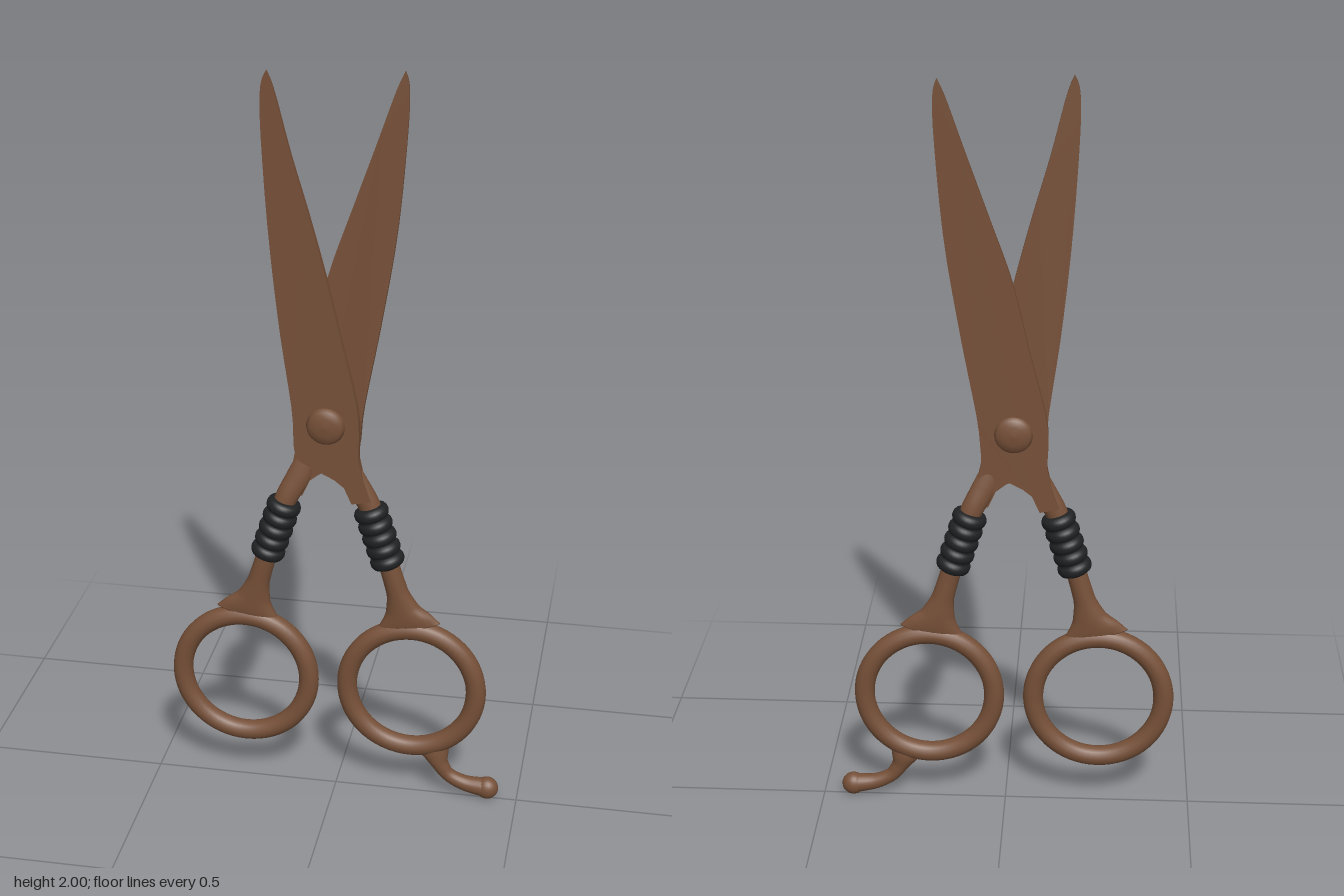
import * as THREE from 'three';

const AXIS = -0.0225; // x of the mirror line between the two handles

// Sweep an ellipse along a path in the xy plane; rows are [x, y, halfWidth, halfDepth, z].
function sweep(rows, steps = 40, sides = 20) {
  const path = new THREE.CatmullRomCurve3(rows.map(r => new THREE.Vector3(r[0], r[1], r[4] || 0)));
  const size = new THREE.CatmullRomCurve3(rows.map(r => new THREE.Vector3(r[2], r[3], 0)));
  const pos = [], index = [];
  for (let i = 0; i <= steps; i++) {
    const t = i / steps, p = path.getPoint(t), s = size.getPoint(t), d = path.getTangent(t);
    const len = Math.hypot(d.x, d.y);
    for (let j = 0; j < sides; j++) {
      const a = j / sides * Math.PI * 2, w = Math.cos(a) * s.x;
      pos.push(p.x - d.y / len * w, p.y + d.x / len * w, p.z + Math.sin(a) * s.y);
      if (i < steps) {
        const k = (j + 1) % sides, b = i * sides, c = b + sides;
        index.push(b + j, b + k, c + j, b + k, c + k, c + j);
      }
    }
  }
  // Close both ends with fans
  const last = steps * sides;
  for (let j = 1; j < sides - 1; j++) {
    index.push(0, j + 1, j, last, last + j, last + j + 1);
  }
  const g = new THREE.BufferGeometry();
  g.setAttribute('position', new THREE.Float32BufferAttribute(pos, 3));
  g.setIndex(index);
  g.computeVertexNormals();
  return g;
}

// Flat blade from two edge curves; zLow and zHigh give its two faces at each height.
function bladeGeometry(outer, inner, heel, zLow, zHigh) {
  const smooth = pts => new THREE.SplineCurve(pts.map(p => new THREE.Vector2(...p))).getPoints(24);
  const outline = [...smooth(outer), ...smooth(inner).slice(1), ...heel.map(p => new THREE.Vector2(...p))];
  const g = new THREE.ExtrudeGeometry(new THREE.Shape(outline), { depth: 1, bevelEnabled: false });
  const p = g.attributes.position;
  for (let i = 0; i < p.count; i++) {
    const y = p.getY(i);
    p.setZ(i, THREE.MathUtils.lerp(zLow(y), zHigh(y), p.getZ(i)));
  }
  g.computeVertexNormals();
  return g;
}

export function createModel() {
  const model = new THREE.Group();
  model.name = 'scissors';
  const bronze = new THREE.MeshStandardMaterial({ color: 0x765038 });
  bronze.name = 'bronze brown';
  const rubber = new THREE.MeshStandardMaterial({ color: 0x1f2123 });
  rubber.name = 'black rubber';
  const add = (name, geometry, material, parent = model) => {
    const mesh = new THREE.Mesh(geometry, material);
    mesh.name = name;
    parent.add(mesh);
    return mesh;
  };

  // Blades, spreading apart in depth towards the tips
  const rise = y => THREE.MathUtils.clamp((y - 1.1) / 0.9, 0, 1);
  add('frontBlade', bladeGeometry(
    [[-0.09, 0.985], [-0.105, 1.02], [-0.11, 1.13], [-0.14, 1.35], [-0.165, 1.6], [-0.18, 1.85], [-0.179, 1.96], [-0.165, 2]],
    [[-0.165, 2], [-0.146, 1.95], [-0.108, 1.8], [-0.062, 1.64], [-0.02, 1.48], [0.02, 1.31], [0.06, 1.13], [0.062, 1.0]],
    [[0.075, 0.94], [0.095, 0.885], [0.045, 0.875], [0.025, 0.92], [0, 0.94]],
    y => -0.002 + 0.015 * rise(y), () => 0.024), bronze);
  add('backBlade', bladeGeometry(
    [[0.045, 0.985], [0.06, 1.03], [0.07, 1.13], [0.11, 1.35], [0.149, 1.6], [0.17, 1.85], [0.172, 1.96], [0.162, 2]],
    [[0.162, 2], [0.14, 1.95], [0.095, 1.82], [0.035, 1.65], [-0.02, 1.49], [-0.062, 1.31], [-0.108, 1.12], [-0.108, 1.0]],
    [[-0.12, 0.94], [-0.14, 0.885], [-0.09, 0.875], [-0.07, 0.92], [-0.045, 0.94]],
    y => -0.028 - 0.008 * rise(y), y => -0.004 - 0.024 * rise(y)), bronze);

  // Pivot screw with a domed head on both sides
  const dome = [[0, -0.045], [0.025, -0.043], [0.042, -0.037], [0.05, -0.028], [0.05, 0.026], [0.042, 0.034], [0.025, 0.039], [0, 0.041]];
  const screw = add('pivotScrew',
    new THREE.LatheGeometry(dome.map(p => new THREE.Vector2(...p)), 32), bronze);
  screw.rotation.x = Math.PI / 2;
  screw.position.set(AXIS, 1.09, 0);

  // Ribbed grip profile, five rounded rings
  const ribs = 5, gripLength = 0.175;
  const gripProfile = [new THREE.Vector2(0.02, -gripLength / 2)];
  for (let i = 0; i <= ribs * 8; i++) {
    const t = i / (ribs * 8);
    const bulge = Math.abs(Math.sin(t * ribs * Math.PI));
    gripProfile.push(new THREE.Vector2(0.034 + 0.012 * Math.sqrt(bulge), (t - 0.5) * gripLength));
  }
  gripProfile.push(new THREE.Vector2(0.02, gripLength / 2));

  // Handles: shank, grip and finger ring, mirrored across the pivot
  for (const side of [1, -1]) {
    const handle = new THREE.Group();
    handle.name = side > 0 ? 'leftHandle' : 'rightHandle';
    model.add(handle);
    const mx = x => AXIS + side * (x - AXIS);
    const shank = [
      [0.032, 0.99, 0.024, 0.008, 0.011 * side], [0.055, 0.93, 0.031, 0.017, 0.006 * side],
      [0.09, 0.86, 0.029, 0.025], [0.14, 0.7, 0.027, 0.026], [0.163, 0.62, 0.029, 0.026, -0.002],
      [0.178, 0.565, 0.046, 0.026, -0.004], [0.188, 0.53, 0.075, 0.024, -0.004], [0.193, 0.51, 0.09, 0.02, -0.004],
    ].map(([x, ...rest]) => [mx(x), ...rest]);
    add('shank', sweep(shank, 56), bronze, handle);

    const grip = add('ribbedGrip', new THREE.LatheGeometry(gripProfile, 28), rubber, handle);
    grip.position.set(mx(0.115), 0.778, 0);
    grip.rotation.z = side * Math.atan2(0.05, 0.155);

    const ring = new THREE.CatmullRomCurve3(Array.from({ length: 24 }, (_, i) => {
      const a = i / 24 * Math.PI * 2;
      return new THREE.Vector3(0.175 * Math.cos(a), 0.18 * Math.sin(a), 0);
    }), true);
    add('fingerRing', new THREE.TubeGeometry(ring, 64, 0.027, 16, true), bronze, handle)
      .position.set(mx(0.205), 0.325, -0.004);
  }

  // Curved finger rest with a rounded tip
  add('fingerRest', sweep([
    [0.268, 0.155, 0.05, 0.02, -0.004], [0.277, 0.128, 0.036, 0.023, -0.003], [0.289, 0.098, 0.023, 0.021],
    [0.312, 0.066, 0.019, 0.019], [0.355, 0.044, 0.021, 0.021], [0.415, 0.035, 0.027, 0.026],
  ]), bronze);
  const tip = add('fingerRestTip', new THREE.SphereGeometry(0.031, 20, 14), bronze);
  tip.scale.z = 0.9;
  tip.position.set(0.419, 0.035, 0);

  return model;
}
